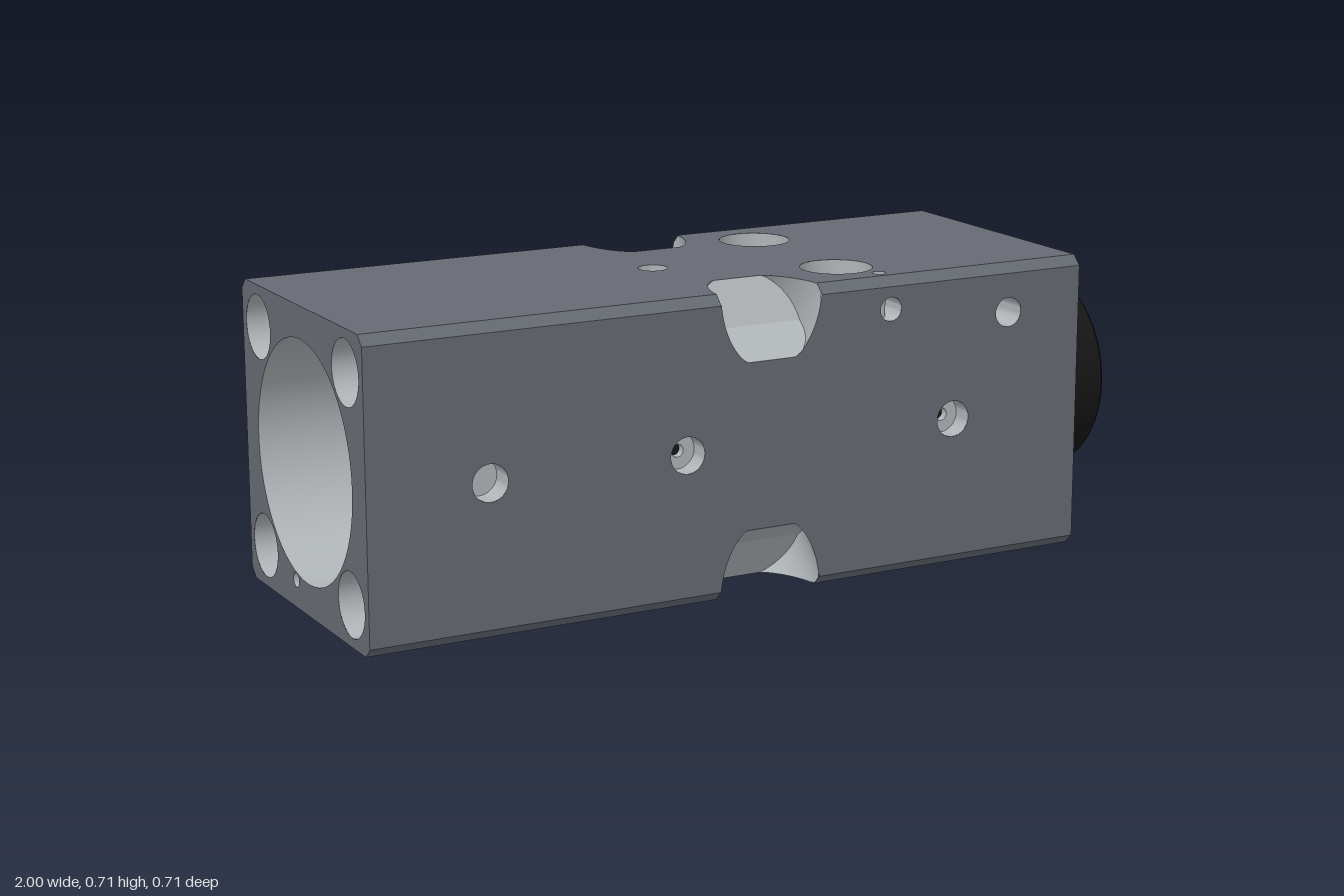
import * as THREE from 'three';
import { toCreasedNormals } from 'three/addons/utils/BufferGeometryUtils.js';

const S = 0.711, H = S / 2;          // square section and half of it
const X0 = -1, X1 = 0.83;            // ends of the block
const C = 0.023;                     // edge chamfer
const NX = -0.01, NR = 0.13;         // edge pocket centre and radius
const NT = 0.113;                    // half width of the pocket floor

const shell = new THREE.MeshStandardMaterial({ color: 0x666a72 });
const bare = new THREE.MeshStandardMaterial({ color: 0xb0b5b8, side: THREE.DoubleSide });
const black = new THREE.MeshStandardMaterial({ color: 0x161616, side: THREE.DoubleSide });

function add(parent, name, geometry, material) {
  const mesh = new THREE.Mesh(geometry, material);
  mesh.name = name;
  parent.add(mesh);
  return mesh;
}

// Turned surface around local z, from [radius, depth] pairs
function turned(profile, segments) {
  const g = new THREE.LatheGeometry(profile.map(([r, d]) => new THREE.Vector2(r, -d)), segments);
  g.rotateX(Math.PI / 2);
  return toCreasedNormals(g, 0.5);
}

// Flat face pierced by holes; each hole is { x, y, p: profile, dark: [radius, depth] }
function face(name, outline, holes) {
  const group = new THREE.Group();
  group.name = name;
  const shape = new THREE.Shape(outline.map(([x, y]) => new THREE.Vector2(x, y)));
  for (const { x, y, p, dark } of holes) {
    shape.holes.push(new THREE.Path().absarc(x, y, p[0][0], 0, Math.PI * 2, true));
    if (p.length > 1) {
      add(group, 'holeWall', turned(p, p[0][0] > 0.1 ? 96 : 32), bare).position.set(x, y, 0);
    }
    if (dark) {
      add(group, 'holeBottom', new THREE.CircleGeometry(dark[0], 24), black).position.set(x, y, -dark[1]);
    }
  }
  add(group, name + 'Plate', new THREE.ShapeGeometry(shape, 32), shell);
  return group;
}

const blind = (r, d) => [[r, 0], [r, d], [0, d]];
const tube = (r, d) => [[r, 0], [r, d]];

// Outline of a long side, with a pocket cut into both long edges
function sideOutline() {
  const e = H - C, low = [[X0, -e]];
  for (let i = 0; i <= 32; i++) {
    const a = Math.PI * i / 32;
    const v = Math.SQRT2 * Math.min(NR * Math.sin(a), NT);
    low.push([NX - NR * Math.cos(a), -H + Math.max(v, C)]);
  }
  low.push([X1, -e]);
  return [...low, ...low.map(([x, y]) => [x, -y]).reverse()];
}

// Pocket drilled diagonally into the top front edge, lofted along x
function pocketGeometry() {
  const pos = [], index = [], n = 32;
  for (let i = 0; i <= n; i++) {
    const a = Math.PI * i / n, t = Math.min(NR * Math.sin(a), NT);
    const rim = Math.max(t, C / Math.SQRT2), floor = (k) => 0.141 - 0.25 * k;
    for (const [s, w] of [[-t, rim], [-t, floor(t)], [0, floor(0)], [t, floor(t)], [t, rim]]) {
      pos.push(NX - NR * Math.cos(a), H - (w - s) / Math.SQRT2, H - (w + s) / Math.SQRT2);
    }
    for (let j = 0; j < 4 && i < n; j++) {
      const q = i * 5 + j;
      index.push(q, q + 5, q + 1, q + 1, q + 5, q + 6);
    }
  }
  const g = new THREE.BufferGeometry();
  g.setAttribute('position', new THREE.Float32BufferAttribute(pos, 3));
  g.setIndex(index);
  g.computeVertexNormals();
  return toCreasedNormals(g, 0.4);
}

export function createModel() {
  const model = new THREE.Group();
  model.name = 'cageBlock';
  const body = new THREE.Group();
  body.name = 'body';
  body.position.y = H;
  model.add(body);

  // Long sides: front, top, back and bottom with their drillings
  const stepped = [[0.043, 0], [0.043, 0.05], [0.015, 0.05], [0.015, 0.07]];
  const counterbore = [[0.085, 0], [0.085, 0.045], [0.057, 0.045], [0.057, S]];
  const sides = [
    ['frontSide', 0, [
      { x: -0.71, y: 0, p: blind(0.043, 0.06) },
      { x: -0.225, y: 0, p: stepped, dark: [0.015, 0.07] },
      { x: 0.48, y: 0, p: stepped, dark: [0.015, 0.07] },
      { x: 0.305, y: 0.28, p: tube(0.028, 0.1) },
      { x: 0.63, y: 0.24, p: tube(0.035, 0.2), dark: [0.035, 0.2] }]],
    ['topSide', -Math.PI / 2, [
      { x: -0.125, y: 0, p: blind(0.035, 0.06) },
      { x: 0.255, y: 0.192, p: counterbore },
      { x: 0.255, y: -0.192, p: counterbore },
      { x: 0.305, y: -0.3, p: tube(0.016, S) }]],
    ['backSide', Math.PI, [
      { x: 0.305, y: -0.28, p: tube(0.028, 0.1) },
      { x: 0.63, y: -0.24, p: tube(0.035, 0.2), dark: [0.035, 0.2] }]],
    ['bottomSide', Math.PI / 2, [
      { x: -0.125, y: 0, p: blind(0.03, 0.06) },
      { x: -0.887, y: -0.065, p: blind(0.022, 0.04) },
      { x: 0.477, y: -0.065, p: blind(0.022, 0.04) },
      { x: 0.255, y: 0.192, p: [[0.057, 0]] },
      { x: 0.255, y: -0.192, p: [[0.057, 0]] },
      { x: 0.305, y: 0.3, p: [[0.016, 0]] }]],
  ];
  const outline = sideOutline(), pocket = pocketGeometry();
  for (const [name, angle, holes] of sides) {
    const turn = new THREE.Group();
    turn.name = name + 'Group';
    turn.rotation.x = angle;
    body.add(turn);
    const plate = face(name, outline, holes);
    plate.position.z = H;
    turn.add(plate);
    add(turn, 'edgePocket', pocket, bare);
    // Chamfer strips either side of the pocket
    for (const [a, b] of [[X0, NX - NR], [NX + NR, X1]]) {
      const strip = add(turn, 'edgeChamfer', new THREE.PlaneGeometry(b - a, C * Math.SQRT2), shell);
      strip.position.set((a + b) / 2, H - C / 2, H - C / 2);
      strip.rotation.x = -Math.PI / 4;
    }
  }

  // Ends: octagonal plates with corner holes
  const k = H - C;
  const octagon = [[-k, -H], [k, -H], [H, -k], [H, k], [k, H], [-k, H], [-H, k], [-H, -k]];
  const corners = (p) => [[1, 1], [-1, 1], [-1, -1], [1, -1]]
    .map(([sx, sy]) => ({ x: 0.258 * sx, y: 0.258 * sy, p }));
  const lensEnd = face('lensEnd', octagon, [
    ...corners([[0.025, 0], [0.021, 0.006], [0.021, 0.12], [0, 0.12]]),
    { x: 0.07, y: -0.29, p: tube(0.017, X1 - X0) },
    { x: 0, y: 0, p: [[0.13, 0]] }]);
  lensEnd.rotation.y = Math.PI / 2;
  lensEnd.position.x = X1;
  const boreEnd = face('boreEnd', octagon, [
    ...corners([[0.075, 0], [0.075, 0.8], [0.03, 0.8], [0.03, 0.84], [0, 0.84]]),
    { x: -0.07, y: -0.29, p: [[0.017, 0]] },
    { x: 0, y: 0, p: [[0.28, 0], [0.28, 1.14], [0.13, 1.14], [0.13, X1 - X0]] }]);
  boreEnd.rotation.y = -Math.PI / 2;
  boreEnd.position.x = X0;
  body.add(lensEnd, boreEnd);

  // Black barrel ring on the end, with a bright inner lip
  const barrel = add(body, 'barrel', turned([
    [0.13, 0], [0.232, 0], [0.24, -0.008], [0.24, -0.16], [0.23, -0.17], [0.195, -0.17],
    [0.185, -0.16], [0.185, -0.07], [0.165, -0.07], [0.165, -0.03], [0.13, -0.03], [0.13, 0]], 96), black);
  const lip = add(body, 'innerLip', new THREE.TorusGeometry(0.168, 0.003, 8, 96), bare);
  barrel.rotation.y = lip.rotation.y = Math.PI / 2;
  barrel.position.x = X1;
  lip.position.x = X1 + 0.07;
  return model;
}
